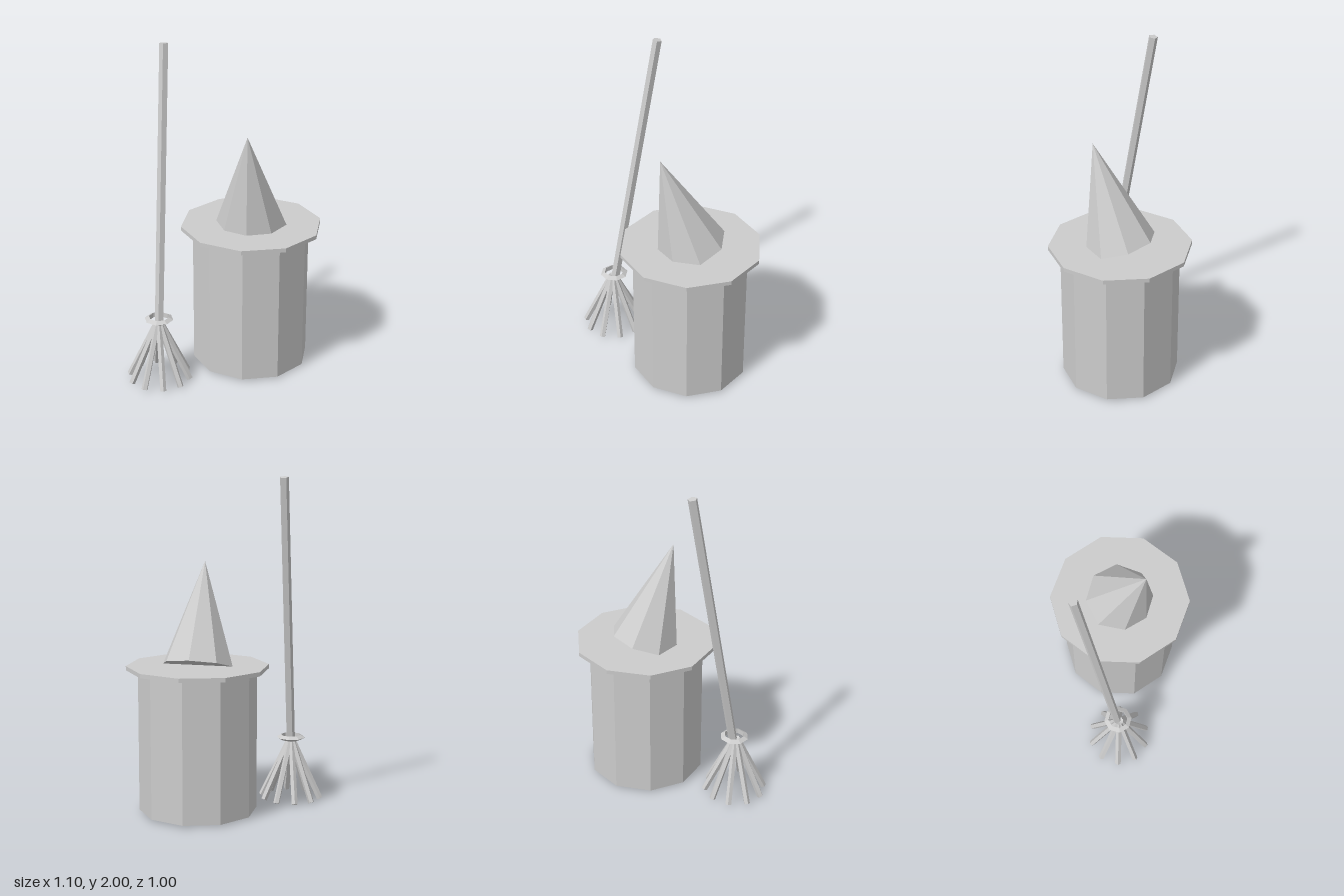
import * as THREE from 'three';

const grey = new THREE.MeshStandardMaterial({ color: 0xcccccc, flatShading: true });
grey.name = 'plain grey';

const rad = THREE.MathUtils.degToRad;

function part(name, geometry, parent, x = 0, y = 0, z = 0) {
  const mesh = new THREE.Mesh(geometry, grey);
  mesh.name = name;
  mesh.position.set(x, y, z);
  parent.add(mesh);
  return mesh;
}

// Ten-sided pot with an overhanging lid and a crooked pointed top
function createPot() {
  const pot = new THREE.Group();
  pot.name = 'pot';
  pot.position.set(0.145, 0, -0.077);
  part('barrel', new THREE.CylinderGeometry(0.354, 0.354, 0.86, 10), pot, 0, 0.44, 0);
  part('brim', new THREE.CylinderGeometry(0.425, 0.425, 0.025, 10), pot, 0, 0.877, 0);

  // Cone leans forward about the centre of its base
  const height = 0.628;
  const cone = new THREE.ConeGeometry(0.213, height, 8).translate(0, height / 2, 0);
  part('pointedTop', cone, pot, 0, 0.89, 0).rotation.x = rad(17);
  return pot;
}

// Broom with a leaning handle, binding ring and splayed straws
function createBroom() {
  const broom = new THREE.Group();
  broom.name = 'broom';
  broom.position.x = -0.352;

  const length = 1.65;
  const stick = new THREE.CylinderGeometry(0.0273, 0.0273, length, 5).translate(0, length / 2, 0);
  part('handle', stick, broom, 0, 0.37, 0.288).rotation.x = rad(-10);

  const ring = new THREE.TorusGeometry(0.069, 0.0175, 3, 8).rotateX(Math.PI / 2);
  part('bindingRing', ring, broom, 0, 0.39, 0.297);

  // Each straw hangs from its upper end and tilts outward
  const straw = new THREE.CylinderGeometry(0.019, 0.019, 0.402, 5)
    .translate(0, -0.201, 0)
    .rotateX(rad(-25.5))
    .translate(0, 0, 0.01);
  for (let i = 0; i < 10; i++) {
    part('straw', straw, broom, 0, 0.37, 0.306).rotation.y = Math.PI / 2 + (i * Math.PI) / 5;
  }
  return broom;
}

export function createModel() {
  const model = new THREE.Group();
  model.name = 'potAndBroom';
  model.add(createPot(), createBroom());
  return model;
}
